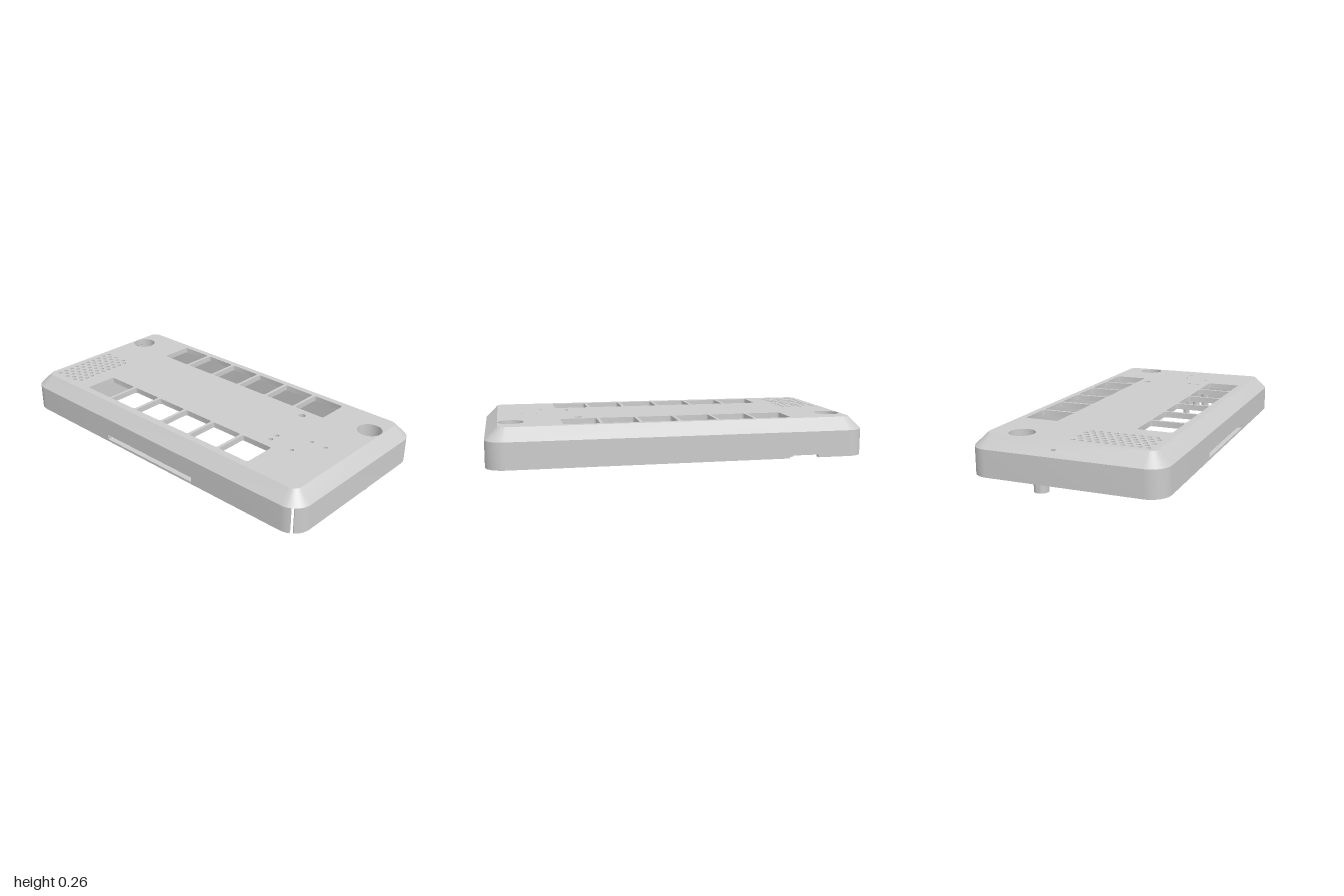
import * as THREE from 'three';
import { toCreasedNormals } from 'three/addons/utils/BufferGeometryUtils.js';

const HX = 1, HZ = 0.505, R = 0.1, T = 0.03;           // outer half sizes, corner radius, wall
const BASE = 0.06, SHOULDER = 0.2, TOP = 0.265, UNDER = 0.235;
const V = (x, y) => new THREE.Vector2(x, y);

export function createModel() {
  const model = new THREE.Group();
  const material = new THREE.MeshStandardMaterial({ color: 0xcccccc });

  const add = (name, geometry, x = 0, y = 0, z = 0) => {
    const mesh = new THREE.Mesh(toCreasedNormals(geometry, 0.5), material);
    mesh.name = name;
    mesh.position.set(x, y, z);
    model.add(mesh);
    return mesh;
  };

  // Rounded rectangle, ten points per corner, counterclockwise from the front right
  const outline = (hx, hz, r) => {
    const points = [];
    [[1, -1], [1, 1], [-1, 1], [-1, -1]].forEach(([sx, sy], corner) => {
      for (let i = 0; i < 10; i++) {
        const a = (corner - 1 + i / 9) * Math.PI / 2;
        points.push(V(sx * (hx - r) + r * Math.cos(a), sy * (hz - r) + r * Math.sin(a)));
      }
    });
    return points;
  };

  // Extrude a plan shape upward (plan y runs toward the back)
  const slab = (shape, y0, y1) =>
    new THREE.ExtrudeGeometry(shape, { depth: y1 - y0, bevelEnabled: false, curveSegments: 16 })
      .rotateX(-Math.PI / 2).translate(0, y0, 0);

  // Skin over a list of [outline, height] sections
  const loft = (sections) => {
    const n = sections[0][0].length, pos = [], index = [];
    sections.forEach(([ring, y]) => ring.forEach((p) => pos.push(p.x, y, -p.y)));
    for (let s = 0; s < sections.length - 1; s++)
      for (let i = 0; i < n; i++) {
        const a = s * n + i, b = s * n + (i + 1) % n;
        index.push(a, b, b + n, a, b + n, a + n);
      }
    const g = new THREE.BufferGeometry();
    g.setAttribute('position', new THREE.Float32BufferAttribute(pos, 3));
    g.setIndex(index);
    return g;
  };

  const outer = outline(HX, HZ, R), inner = outline(HX - T, HZ - T, R - T);

  // Side wall in three runs, leaving a slit in one corner and room for two panels
  const wallRun = (from, to, startX, endX) => {
    const side = (ring) => {
      const run = ring.slice(from, to + 1);
      if (startX !== null) run.unshift(V(startX, run[0].y));
      if (endX !== null) run.push(V(endX, run[run.length - 1].y));
      return run;
    };
    add('sideWall', slab(new THREE.Shape([...side(outer), ...side(inner).reverse()]), BASE, SHOULDER));
  };
  wallRun(0, 3, 0.45, null);
  wallRun(4, 19, null, -0.5);
  wallRun(20, 39, null, -0.45);

  // Front panel with a long slot, back panel with a shallow bottom notch
  const panel = (name, corners, z, hole) => {
    const shape = new THREE.Shape(corners.map(([x, y]) => V(x, y)));
    if (hole) shape.holes.push(new THREE.Path(hole.map(([x, y]) => V(x, y))));
    add(name, new THREE.ExtrudeGeometry(shape, { depth: T, bevelEnabled: false }), 0, 0, z);
  };
  panel('frontPanel', [[-0.45, BASE], [0.45, BASE], [0.45, SHOULDER], [-0.45, SHOULDER]], HZ - T,
    [[-0.325, 0.073], [-0.325, 0.1], [0.325, 0.1], [0.325, 0.073]]);
  panel('backPanel', [[-0.9, BASE], [-0.73, BASE], [-0.73, 0.075], [-0.57, 0.075], [-0.57, BASE],
    [-0.5, BASE], [-0.5, SHOULDER], [-0.9, SHOULDER]], -HZ);

  // Sloping shoulder, inside and out
  const topRing = outline(0.935, 0.44, 0.04);
  add('slopedShoulder', loft([[inner, SHOULDER], [outer, SHOULDER], [topRing, TOP]]));
  add('shoulderLining', loft([[outline(0.92, 0.425, 0.035), UNDER], [inner, SHOULDER]]));

  // Top plate with every opening
  const plate = new THREE.Shape(topRing);
  const roundHole = (x, z, r) => {
    const p = new THREE.Path();
    p.absarc(x, -z, r, 0, Math.PI * 2, true);
    plate.holes.push(p);
  };
  for (const z of [-0.313, 0.308])
    for (let i = 0; i < 6; i++) {
      const x = -0.512 + i * 0.205;
      plate.holes.push(new THREE.Path(
        outline(0.094, 0.092, 0.012).map((p) => V(p.x + x, p.y - z)).reverse()));
    }

  // Speaker grille: staggered columns
  for (let c = 0; c < 6; c++)
    for (let r = 0; r < 9 + (c + 1) % 2; r++)
      roundHole(-0.89 + c * 0.0345, 0.01 + (c % 2) * 0.021 + r * 0.042, 0.0115);

  // Hollow tube under the plate
  const tube = (name, x, z, rOut, rIn, y0, y1 = 0.24) => add(name, new THREE.LatheGeometry(
    [V(rIn, y0), V(rOut, y0), V(rOut, y1), V(rIn, y1), V(rIn, y0)], 28), x, 0, z);

  // Light pipes: x, z, hole radius, outer radius, lower end
  for (const [x, z, rIn, rOut, y0] of [
    [0.51, -0.165, 0.019, 0.029, 0.18],
    [0.55, 0.1, 0.012, 0.021, 0.13], [0.55, 0.15, 0.012, 0.021, 0.13],
    [0.72, 0.03, 0.01, 0.02, 0.035], [0.805, 0.03, 0.01, 0.02, 0.035],
    [0.695, 0.163, 0.011, 0.023, 0.04],
  ]) {
    roundHole(x, z, rIn);
    tube('lightPipe', x, z, rOut, rIn, y0);
  }

  // Counterbored screw bosses and mounting posts
  for (const s of [-1, 1]) {
    roundHole(s * 0.866, -0.275, 0.066);
    add('screwBoss', new THREE.LatheGeometry([V(0.037, 0.1), V(0.085, 0.1), V(0.085, 0.237),
      V(0.066, 0.264), V(0.066, 0.13), V(0.037, 0.13), V(0.037, 0.1)], 40), s * 0.866, 0, -0.275);
    for (const x of [0.69, 0.92]) tube('mountingPost', s * x, -0.148, 0.037, 0.018, 0);
  }
  tube('shortPost', -0.805, -0.148, 0.032, 0.016, BASE);

  add('topPlate', slab(plate, UNDER, TOP));

  // Speaker compartment under the grille
  const h = UNDER - 0.075, y = 0.075 + h / 2;
  add('speakerSideWall', new THREE.BoxGeometry(0.02, h, 0.51), -0.685, y, 0.215);
  add('speakerBackWall', new THREE.BoxGeometry(0.28, h, 0.02), -0.835, y, -0.05);

  return model;
}
